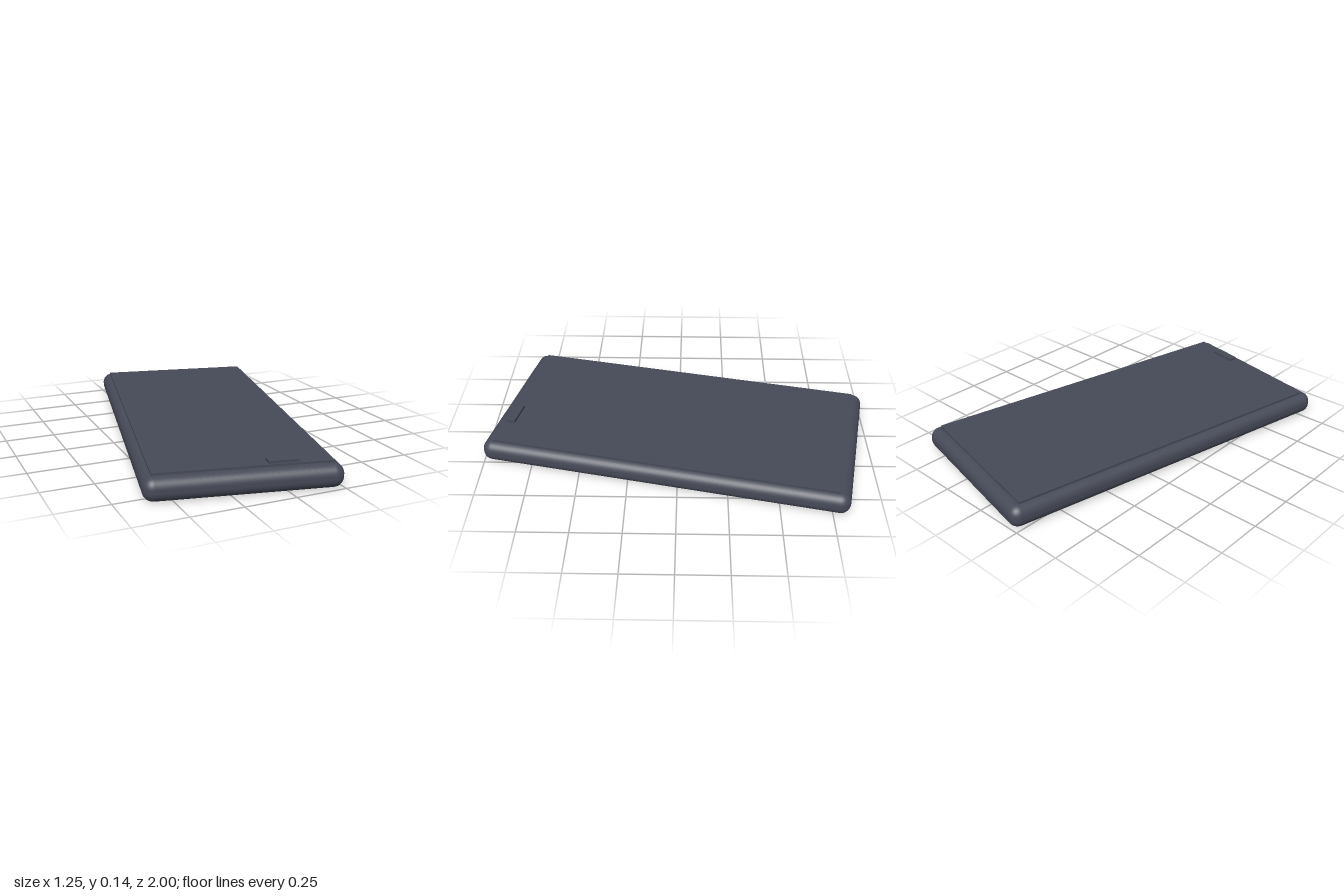
import * as THREE from 'three';
import { RoundedBoxGeometry } from 'three/addons/geometries/RoundedBoxGeometry.js';

export function createModel() {
  const model = new THREE.Group();
  model.name = 'slabDevice';

  const slate = new THREE.MeshStandardMaterial({ color: 0x464a57 });
  slate.name = 'slate grey';

  // All parts share one turned frame
  const device = new THREE.Group();
  device.name = 'device';
  device.rotation.y = THREE.MathUtils.degToRad(-12);
  model.add(device);

  const addPart = (name, geometry, x, y, z) => {
    const mesh = new THREE.Mesh(geometry, slate);
    mesh.name = name;
    mesh.position.set(x, y, z);
    device.add(mesh);
  };

  // Rounded body
  addPart('body', new RoundedBoxGeometry(0.9, 0.112, 1.874, 6, 0.05), 0, 0.056, 0);

  // Flat screen panel, slightly proud of the body
  addPart('screen', new THREE.BoxGeometry(0.818, 0.022, 1.763), 0, 0.111, 0);

  // Small raised button near the front edge
  addPart('button', new THREE.BoxGeometry(0.142, 0.02, 0.048), 0.18, 0.125, 0.848);

  return model;
}
